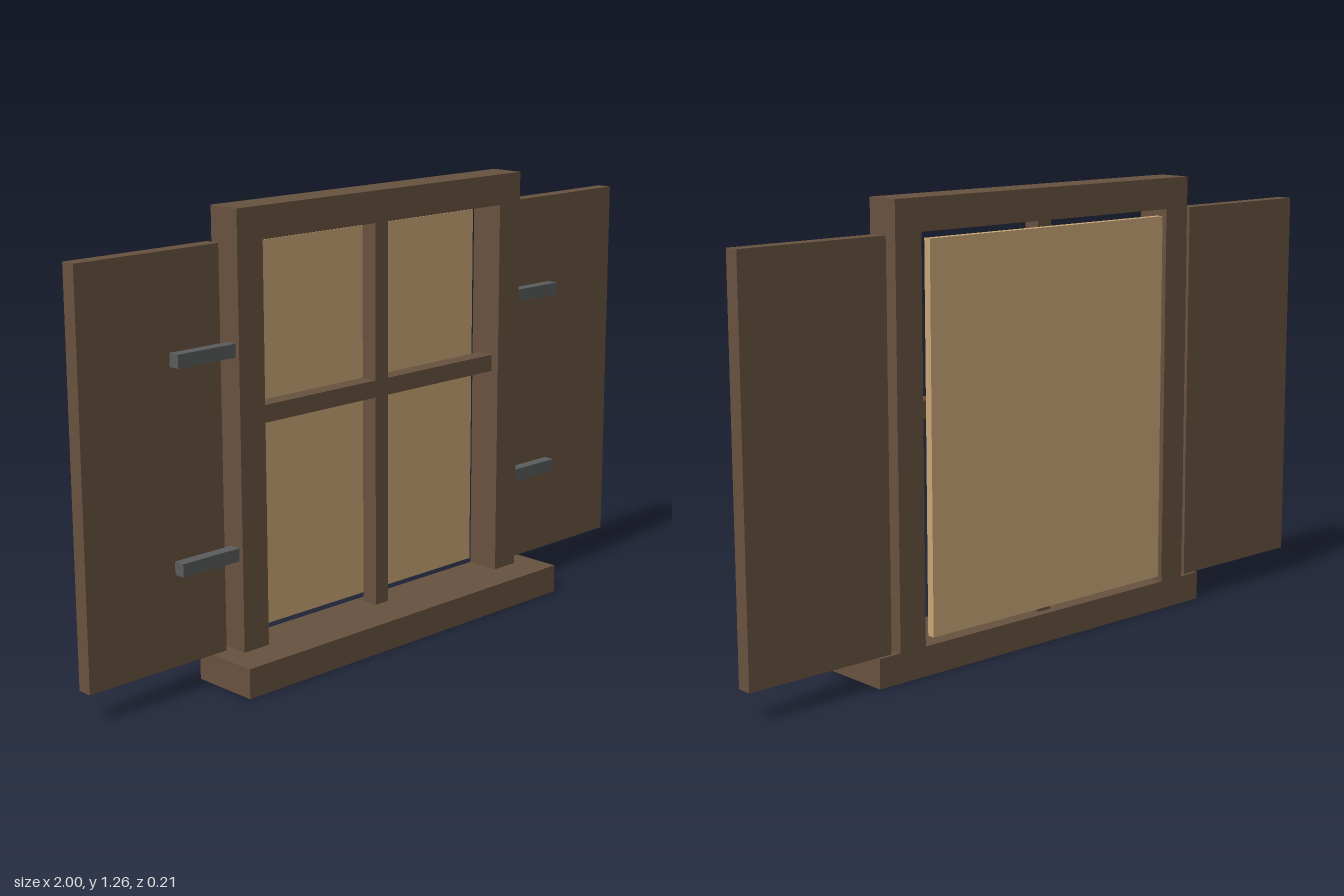
import * as THREE from 'three';

const wood = new THREE.MeshStandardMaterial({ name: 'brown wood', color: 0x68523f });
const pane = new THREE.MeshStandardMaterial({ name: 'warm pane', color: 0xcba878 });
const iron = new THREE.MeshStandardMaterial({ name: 'grey iron', color: 0x5a5c5d });

// Box given by its lower and upper limits on each axis
function block(name, material, [x0, x1], [y0, y1], [z0, z1]) {
  const mesh = new THREE.Mesh(new THREE.BoxGeometry(x1 - x0, y1 - y0, z1 - z0), material);
  mesh.position.set((x0 + x1) / 2, (y0 + y1) / 2, (z0 + z1) / 2);
  mesh.name = name;
  return mesh;
}

export function createModel() {
  const model = new THREE.Group();
  model.name = 'shutteredWindow';

  const sillTop = 0.082, lintelBottom = 1.17;
  const frameDepth = [-0.097, 0.003];
  const barDepth = [-0.072, -0.022];

  // Sill and lintel
  model.add(block('sill', wood, [-0.602, 0.602], [0, sillTop], [-0.097, 0.103]));
  model.add(block('lintel', wood, [-0.533, 0.533], [lintelBottom, 1.257], frameDepth));

  // Glazing bars and pane
  model.add(block('verticalBar', wood, [-0.024, 0.024], [sillTop, lintelBottom], barDepth));
  model.add(block('horizontalBar', wood, [-0.448, 0.448], [0.683, 0.731], barDepth));
  model.add(block('pane', pane, [-0.426, 0.426], [0.103, 1.152], [-0.103, -0.081]));

  // Post, open shutter and hinges on each side
  for (const [side, s] of [['left', 1], ['right', -1]]) {
    const span = (a, b) => (s > 0 ? [a, b] : [-b, -a]);
    model.add(block(side + 'Post', wood, span(0.448, 0.533), [sillTop, lintelBottom], frameDepth));
    model.add(block(side + 'Shutter', wood, span(0.555, 1), [sillTop, 1.168], [-0.087, -0.044]));
    for (const [level, y] of [['Lower', 0.349], ['Upper', 0.893]]) {
      model.add(block(side + level + 'Hinge', iron, span(0.53, 0.72), [y - 0.018, y + 0.018], [-0.045, -0.011]));
    }
  }
  return model;
}
